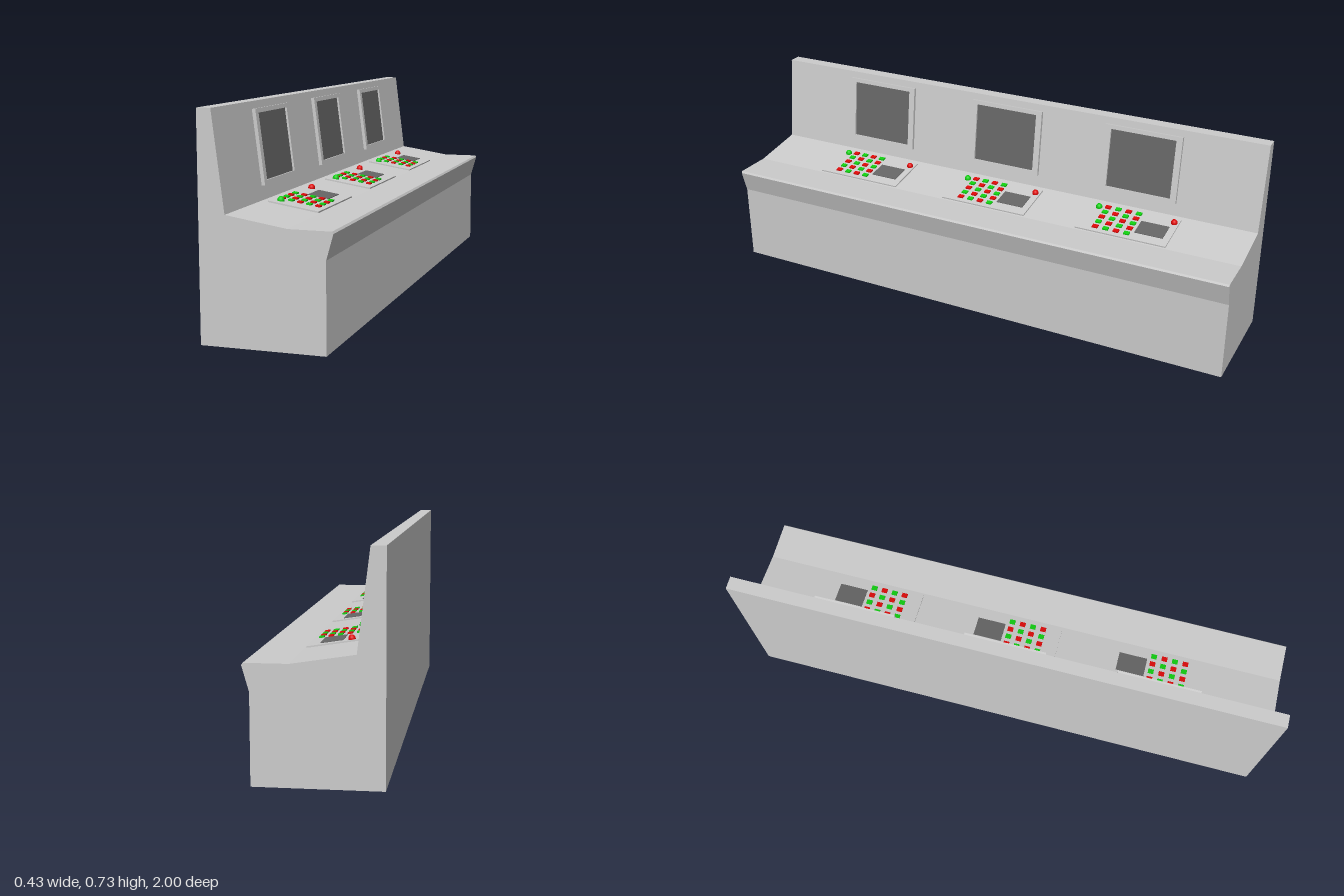
import * as THREE from 'three';

const mat = (color) => new THREE.MeshStandardMaterial({ color });
const grey = mat(0xcccccc), dark = mat(0x666666), red = mat(0xe00808), green = mat(0x10d010);

function add(parent, name, geometry, material, x = 0, y = 0, z = 0) {
  const mesh = new THREE.Mesh(geometry, material);
  mesh.name = name;
  mesh.position.set(x, y, z);
  parent.add(mesh);
  return mesh;
}

// Wall-mounted screen: local x points out of the wall, y runs up it
function makeMonitor() {
  const group = new THREE.Group();
  group.name = 'monitor';
  const rect = (C, w, h) => new C([[-w, -h], [w, -h], [w, h], [-w, h]].map((p) => new THREE.Vector2(...p)));
  const shape = rect(THREE.Shape, 0.147, 0.125);
  shape.holes.push(rect(THREE.Path, 0.124, 0.11));
  const frame = new THREE.ExtrudeGeometry(shape, { depth: 0.012, bevelEnabled: false });
  frame.rotateY(Math.PI / 2);
  add(group, 'monitorFrame', frame, grey);
  add(group, 'monitorScreen', new THREE.BoxGeometry(0.005, 0.222, 0.25), dark, 0.0025);
  return group;
}

// Round knob: short collar with a domed cap
function addKnob(parent, name, material, x, z) {
  const points = [[0.012, 0], [0.012, 0.005], [0.011, 0.009], [0.008, 0.0135], [0.004, 0.016], [0, 0.0165]];
  const dome = new THREE.LatheGeometry(points.map((p) => new THREE.Vector2(...p)), 16);
  add(parent, name, dome, material, x, 0.004, z);
}

// Desk control panel: local y is the normal of the sloping desk
function makePanel() {
  const group = new THREE.Group();
  group.name = 'controlPanel';
  add(group, 'panelPlate', new THREE.BoxGeometry(0.176, 0.008, 0.343), grey, 0, 0.001, -0.008);
  add(group, 'panelDisplay', new THREE.BoxGeometry(0.075, 0.003, 0.106), dark, 0.009, 0.0055, -0.102);
  const button = new THREE.BoxGeometry(0.017, 0.006, 0.021);
  for (let i = 0; i < 5; i++) {
    for (let j = 0; j < 4; j++) {
      add(group, 'button', button, (i + j) % 2 ? red : green, -0.066 + i * 0.032, 0.007, -0.026 + j * 0.04);
    }
  }
  addKnob(group, 'redKnob', red, -0.058, -0.162);
  addKnob(group, 'greenKnob', green, -0.058, 0.127);
  return group;
}

export function createModel() {
  const model = new THREE.Group();
  model.name = 'controlDesk';

  // Body: side profile extruded along the full length
  const profile = [
    [-0.217, 0], [0.192, 0], [0.192, 0.29], [0.215, 0.371], [0.211, 0.378],
    [0.072, 0.378], [-0.13, 0.41], [-0.17, 0.73], [-0.217, 0.73],
  ];
  const shape = new THREE.Shape(profile.map((p) => new THREE.Vector2(...p)));
  const body = new THREE.ExtrudeGeometry(shape, { depth: 2, bevelEnabled: false });
  add(model, 'deskBody', body, grey, 0, 0, -1);

  // Three identical work stations
  for (const z of [-0.548, 0, 0.55]) {
    const monitor = makeMonitor();
    monitor.position.set(-0.1514, 0.581, z);
    monitor.rotation.z = Math.atan2(0.04, 0.32);
    const panel = makePanel();
    panel.position.set(-0.0215, 0.3928, z);
    panel.rotation.z = Math.atan2(-0.032, 0.202);
    model.add(monitor, panel);
  }
  return model;
}
